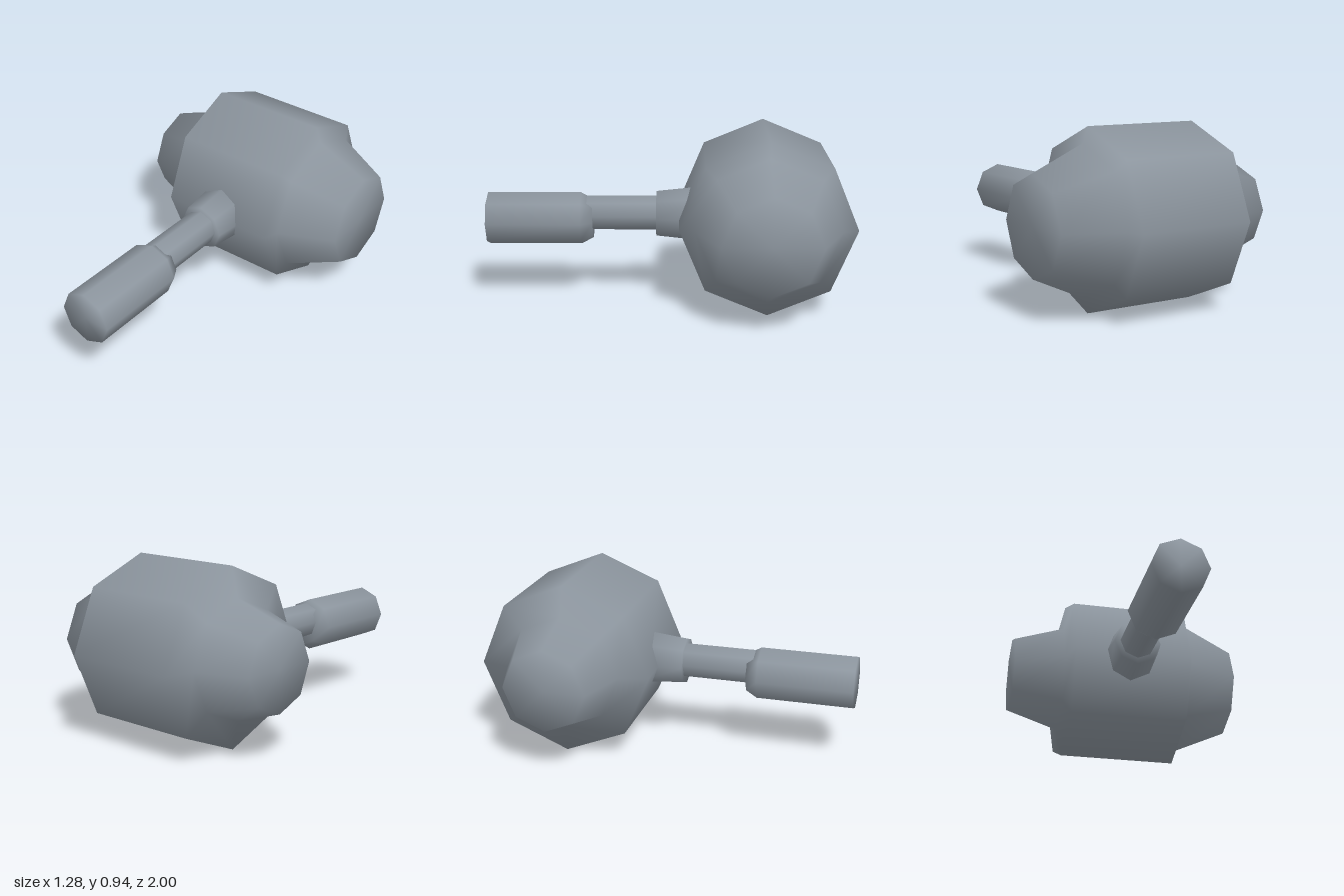
import * as THREE from 'three';

const SIDES = 8;

export function createModel() {
  const model = new THREE.Group();
  model.name = 'mallet';
  const steel = new THREE.MeshStandardMaterial({ color: 0x8c959e });
  steel.name = 'steel grey';

  // Closed, smooth-shaded eight-sided turning; profile is [radius, position along axis]
  function turned(name, profile, axis, x, y, z) {
    const first = profile[0][1], last = profile[profile.length - 1][1];
    const points = [[0, first], ...profile, [0, last]].map(([r, t]) => new THREE.Vector2(r, t));
    const geometry = new THREE.LatheGeometry(points, SIDES);
    if (axis === 'x') geometry.rotateZ(-Math.PI / 2);
    else geometry.rotateX(Math.PI / 2);
    const mesh = new THREE.Mesh(geometry, steel);
    mesh.name = name;
    mesh.position.set(x, y, z);
    model.add(mesh);
  }

  // Head: narrow face on the right, wide face on the left, barrel between
  turned('head', [
    [0.225, -0.64], [0.315, -0.367], [0.472, -0.33],
    [0.472, 0.322], [0.39, 0.35], [0.26, 0.64],
  ], 'x', 0, 0.473, -0.528);

  // Collar where the handle enters the head
  turned('collar', [[0.155, -0.18], [0.128, 0.07]], 'z', -0.013, 0.472, 0);

  // Thin shaft
  turned('shaft', [[0.097, 0.0], [0.097, 0.46]], 'z', -0.013, 0.476, 0);

  // Grip with a bevelled inner end
  turned('grip', [[0.11, 0.42], [0.147, 0.485], [0.147, 1.0]], 'z', -0.013, 0.444, 0);

  return model;
}
